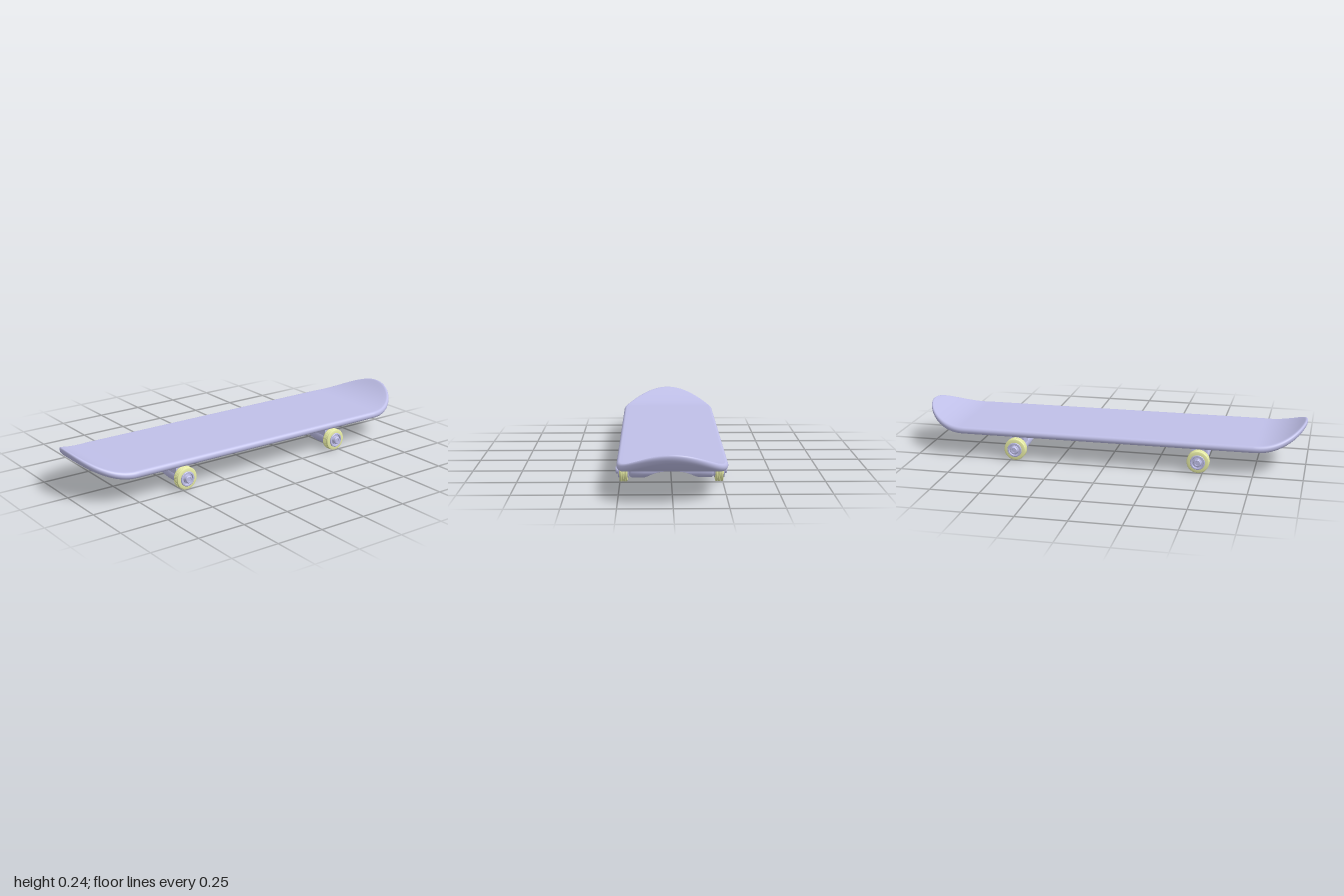
import * as THREE from 'three';
import { mergeVertices, toCreasedNormals } from 'three/addons/utils/BufferGeometryUtils.js';

const grey = new THREE.MeshStandardMaterial({ color: 0xbfbfe8 });
const lime = new THREE.MeshStandardMaterial({ color: 0xe8eda6 });

const lathe = (pts, seg, start = 0) =>
  new THREE.LatheGeometry(pts.map(([r, y]) => new THREE.Vector2(r, y)), seg, start);

// Crease at a large scale so that small details keep separate normals
function crease(geo, angle = 0.6) {
  geo.scale(1000, 1000, 1000);
  const out = toCreasedNormals(geo, angle);
  return out.scale(0.001, 0.001, 0.001);
}

function add(parent, name, geo, mat = grey) {
  const mesh = new THREE.Mesh(geo, mat);
  mesh.name = name;
  parent.add(mesh);
  return mesh;
}

// Deck: a turned disc pulled apart into a stadium, with both ends bent up
function deckGeometry() {
  const R = 0.258, bottom = 0.125, top = 0.161, e = 0.016, seg = 96;
  const half = 1 - R, bendStart = 0.77, bendR = 0.339;
  const pts = [];
  for (let i = 0; i <= 14; i++) pts.push([(R - e) * i / 14, bottom]);
  for (let i = 1; i < 12; i++) {
    const a = -Math.PI / 2 + Math.PI * i / 12;
    pts.push([R - e + e * Math.cos(a), (bottom + top) / 2 + (top - bottom) / 2 * Math.sin(a)]);
  }
  for (let i = 14; i >= 0; i--) pts.push([(R - e) * i / 14, top]);

  const geo = lathe(pts, seg, Math.PI / seg);
  const p = geo.attributes.position;
  for (let i = 0; i < p.count; i++) {
    const phi = Math.PI / seg + Math.floor(i / pts.length) * 2 * Math.PI / seg;
    const x = p.getX(i) + Math.sign(Math.sin(phi)) * half;
    const d = Math.max(0, Math.abs(x) - bendStart);
    p.setX(i, x);
    p.setY(i, p.getY(i) + bendR - Math.sqrt(bendR * bendR - d * d));
  }
  geo.deleteAttribute('normal');
  geo.deleteAttribute('uv');
  const merged = mergeVertices(geo, 1e-5);
  merged.computeVertexNormals();
  return merged;
}

// Hanger: a round bar across the board, cut flat on top and arched below
function hangerGeometry() {
  const axle = 0.06, r = 0.04, gap = 0.13;
  const pts = [[0, -0.208], [0.026, -0.208], [0.036, -0.2], [r, -0.193], [r, -gap - 0.0005]];
  for (let i = 0; i <= 24; i++) pts.push([r, -gap + 2 * gap * i / 24]);
  pts.push([r, gap + 0.0005], [r, 0.193], [0.036, 0.2], [0.026, 0.208], [0, 0.208]);
  const geo = lathe(pts, 48).rotateX(Math.PI / 2).translate(0, axle, 0);
  const p = geo.attributes.position;
  for (let i = 0; i < p.count; i++) {
    const t = Math.abs(p.getZ(i)) / gap;
    if (t > 1.001) continue;
    const low = 0.058 - 0.038 * Math.pow(t, 2.5);
    p.setY(i, Math.min(0.077, Math.max(low, p.getY(i))));
  }
  return crease(geo);
}

// Wheel: tyre with three bands, hub with a ring recess, axle nut
const tyreProfile = [
  [0.036, 0.212], [0.050, 0.212], [0.055, 0.214], [0.057, 0.217],
  [0.057, 0.222], [0.054, 0.2235], [0.057, 0.225],
  [0.057, 0.230], [0.054, 0.2315], [0.057, 0.233],
  [0.057, 0.238], [0.054, 0.2395], [0.057, 0.241],
  [0.057, 0.246], [0.055, 0.250], [0.050, 0.252], [0.036, 0.252],
];
const hubProfile = [
  [0, 0.207], [0.036, 0.207], [0.038, 0.209], [0.038, 0.256],
  [0.036, 0.258], [0.030, 0.258], [0.028, 0.251], [0.022, 0.251], [0.020, 0.258], [0, 0.258],
];
const nutProfile = [
  [0.019, 0.25], [0.019, 0.266], [0.016, 0.270], [0.011, 0.270], [0.010, 0.267], [0, 0.267],
];

function makeWheel(side) {
  const wheel = new THREE.Group();
  wheel.name = side > 0 ? 'frontWheel' : 'backWheel';
  const turn = (pts, n) => crease(lathe(pts, n).rotateX(side * Math.PI / 2));
  add(wheel, 'tyre', turn(tyreProfile, 64), lime);
  add(wheel, 'hub', turn(hubProfile, 48));
  add(wheel, 'axleNut', turn(nutProfile, 32));
  wheel.position.y = 0.058;
  return wheel;
}

function makeTruck(side) {
  const truck = new THREE.Group();
  truck.name = side > 0 ? 'leftTruck' : 'rightTruck';
  add(truck, 'hanger', hangerGeometry());
  for (const s of [1, -1]) {
    // Mounting block between the bar and the deck
    add(truck, 'mountingBlock', new THREE.BoxGeometry(0.074, 0.066, 0.078))
      .position.set(0, 0.094, s * 0.169);
    truck.add(makeWheel(s));
  }
  truck.position.x = side * 0.476;
  return truck;
}

export function createModel() {
  const model = new THREE.Group();
  model.name = 'skateboard';
  add(model, 'deck', deckGeometry());
  for (const side of [1, -1]) model.add(makeTruck(side));
  return model;
}
